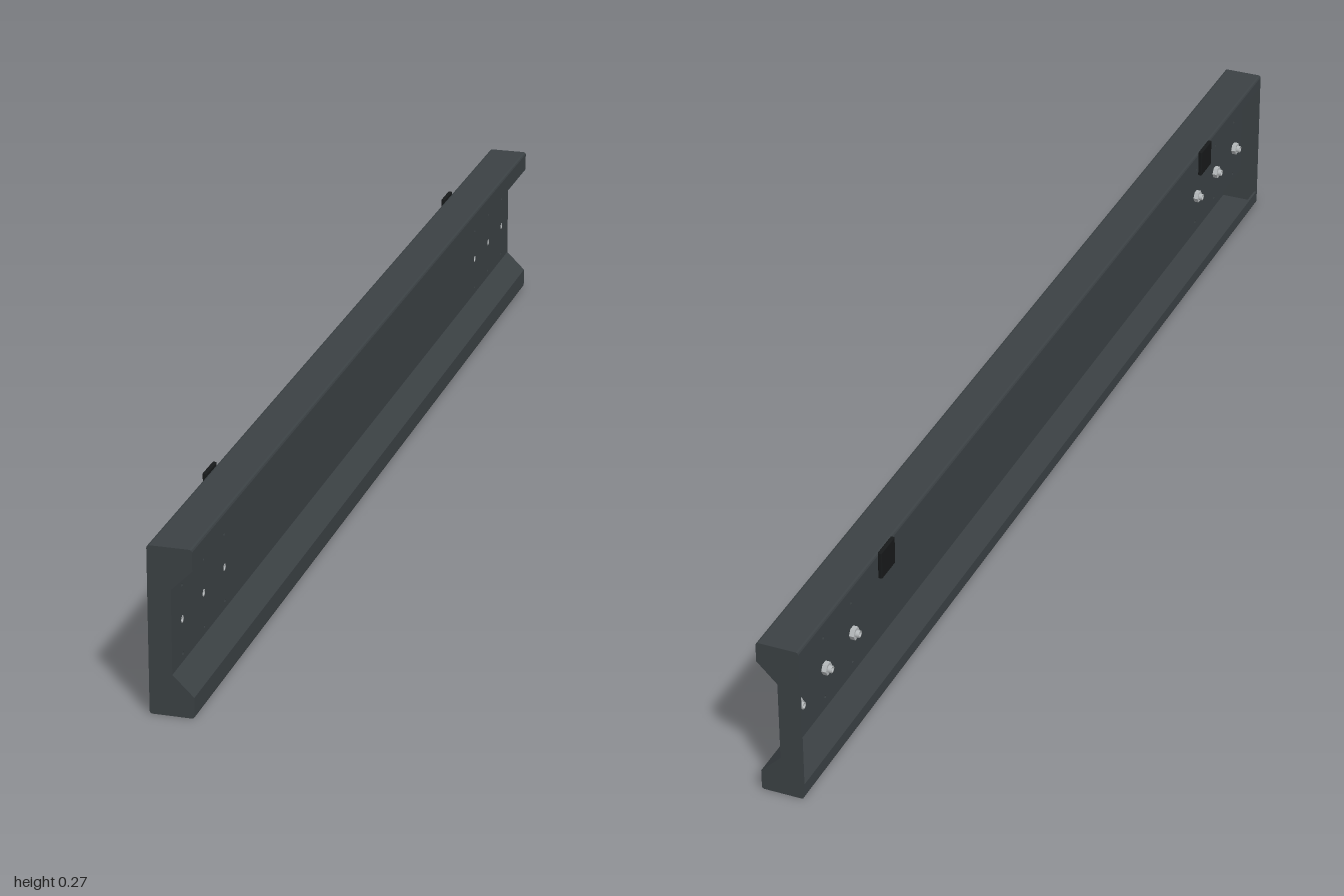
import * as THREE from 'three';
import { RoundedBoxGeometry } from 'three/addons/geometries/RoundedBoxGeometry.js';

const T = 0.004;            // sheet thickness
const MID = 0.135;          // half of the beam height
const BACK = -0.0315, FRONT = 0.0385, WEB = 0.005;
const LIP = 0.025;          // height of the turned-in lips
const boltZ = [0.75, 0.85, 0.95];

const steel = new THREE.MeshStandardMaterial({ color: 0x3b4144 });
const zinc = new THREE.MeshStandardMaterial({ color: 0xb4b8ba });
const rubber = new THREE.MeshStandardMaterial({ color: 0x17191a });

// Polygon in x and height above the middle; s = -1 mirrors it to the lower half
const half = (points, s) => points.map(([x, h]) => new THREE.Vector2(x, MID + s * h));

function extrudeAlongZ(shape, length, z) {
  const geo = new THREE.ExtrudeGeometry(shape, { depth: length, bevelEnabled: false, curveSegments: 12 });
  return geo.translate(0, 0, z);
}

function add(parent, name, geo, mat) {
  const mesh = new THREE.Mesh(geo, mat);
  mesh.name = name;
  parent.add(mesh);
  return mesh;
}

// Outer contour of the upper half, from the web out to the back edge
const c = 0.004;
const outer = [[WEB, 0.068], [FRONT, 0.101], [FRONT, 0.135 - c], [FRONT - c * 0.3, 0.135 - c * 0.3],
  [FRONT - c, 0.135], [BACK + c, 0.135], [BACK + c * 0.3, 0.135 - c * 0.3], [BACK, 0.135 - c]];

export function createModel() {
  const model = new THREE.Group();
  model.name = 'beam';

  // Folded flanges with sloped shoulders and lips
  const section = [...outer, [BACK, 0.135 - LIP], [BACK + T, 0.135 - LIP], [BACK + T, 0.135 - T],
    [FRONT - T, 0.135 - T], [FRONT - T, 0.103], [WEB - T, 0.07], [WEB - T, 0.066], [WEB, 0.066]];
  for (const s of [1, -1]) {
    add(model, s > 0 ? 'topFlange' : 'bottomFlange',
      extrudeAlongZ(new THREE.Shape(half(section, s)), 2 - 2 * T, -1 + T), steel);
  }

  // Web plate pierced by the bolt holes and small pilot holes
  const plate = new THREE.Shape();
  const e = 1 - T;
  plate.moveTo(-e, MID - 0.066).lineTo(e, MID - 0.066).lineTo(e, MID + 0.066).lineTo(-e, MID + 0.066).closePath();
  for (const end of [1, -1]) for (const z of boltZ) {
    for (const [dy, r] of [[0, 0.006], [0.055, 0.0025], [-0.055, 0.0025]]) {
      plate.holes.push(new THREE.Path().absarc(end * z, MID + dy, r, 0, Math.PI * 2, true));
    }
  }
  const web = extrudeAlongZ(plate, T, 0).rotateY(Math.PI / 2).translate(WEB - T, 0, 0);
  add(model, 'web', web, steel);

  // Solid caps closing both ends
  const capShape = new THREE.Shape([...half(outer, 1), ...half(outer, -1).reverse()]);
  add(model, 'frontEndCap', extrudeAlongZ(capShape, T, 1 - T), steel);
  add(model, 'backEndCap', extrudeAlongZ(capShape, T, -1), steel);

  // Threaded inserts on the hidden side of the web: flange, hex nut and hollow sleeve
  const hex = new THREE.Shape();
  for (let i = 0; i < 6; i++) {
    const a = i * Math.PI / 3;
    hex[i ? 'lineTo' : 'moveTo'](0.011 * Math.cos(a), 0.011 * Math.sin(a));
  }
  hex.closePath();
  hex.holes.push(new THREE.Path().absarc(0, 0, 0.004, 0, Math.PI * 2, true));
  const nutGeo = extrudeAlongZ(hex, 0.008, 0).rotateY(-Math.PI / 2);
  const sleeve = [[0.004, -0.004], [0.006, -0.004], [0.006, 0.014], [0.004, 0.014], [0.004, -0.004]];
  const sleeveGeo = new THREE.LatheGeometry(sleeve.map(p => new THREE.Vector2(...p)), 16).rotateZ(Math.PI / 2);
  for (const end of [1, -1]) for (const z of boltZ) {
    const insert = new THREE.Group();
    insert.name = 'threadedInsert';
    add(insert, 'nut', nutGeo, zinc);
    add(insert, 'sleeve', sleeveGeo, zinc);
    insert.position.set(WEB - T, MID, end * z);
    model.add(insert);
  }

  // Dark clips on the upper lip
  for (const z of [0.695, -0.695]) {
    add(model, 'clip', new RoundedBoxGeometry(0.007, 0.048, 0.05, 3, 0.002), rubber)
      .position.set(-0.035, 0.249, z);
  }
  return model;
}
